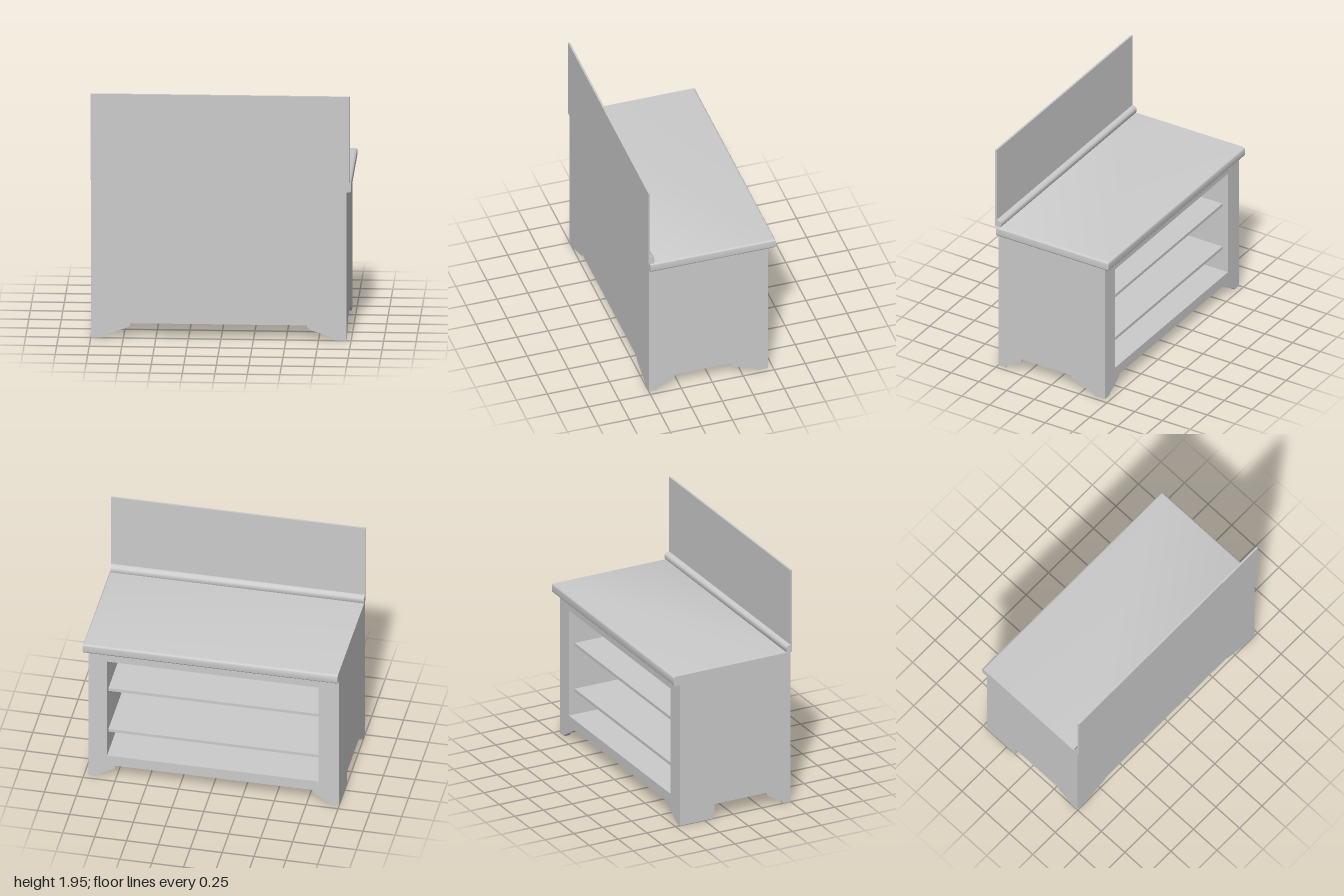
import * as THREE from 'three';
import { toCreasedNormals } from 'three/addons/utils/BufferGeometryUtils.js';

const material = new THREE.MeshStandardMaterial({ color: 0xcccccc });

// Body limits, board thickness and underside of the counter
const X0 = -1, X1 = 0.965, Z0 = -0.46, Z1 = 0.5, T = 0.05, TOP = 1.18;
// Opening in the back
const OX0 = -0.84, OX1 = 0.82, OY0 = 0.205, OY1 = 1.09;

// Foot outlines: distance from the cabinet corner, height
const wideFoot = [[0.085, 0], [0.11, 0.02], [0.2, 0.055], [0.28, 0.083], [0.3, 0.098], [0.305, 0.118]];
const narrowFoot = [[0.065, 0], [0.08, 0.02], [0.14, 0.055], [0.19, 0.083], [0.206, 0.098], [0.21, 0.118]];
const blockFoot = [[0.3, 0], [0.3, 0.118]];

// Board from a to b with a foot cut at each end; trim shortens the ends where boards meet
function boardShape(a, b, footA, footB, trim = 0) {
  const points = [
    [a + trim, 0],
    ...footA.map(([d, y]) => [a + d, y]),
    ...[...footB].reverse().map(([d, y]) => [b - d, y]),
    [b - trim, 0], [b - trim, TOP], [a + trim, TOP],
  ];
  return new THREE.Shape(points.map(([x, y]) => new THREE.Vector2(x, y)));
}

function extrude(shape, depth) {
  return new THREE.ExtrudeGeometry(shape, { depth, bevelEnabled: false });
}

// Extrudes a (z, y) shape along x, ending at xMax
function extrudeAlongX(shape, xMin, xMax) {
  return extrude(shape, xMax - xMin).rotateY(-Math.PI / 2).translate(xMax, 0, 0);
}

function box(x0, x1, y0, y1, z0, z1) {
  return new THREE.BoxGeometry(x1 - x0, y1 - y0, z1 - z0)
    .translate((x0 + x1) / 2, (y0 + y1) / 2, (z0 + z1) / 2);
}

// Counter slab: rounded on the left and back edges, cut square on the other two
function counterGeometry() {
  const r = 0.018, zBack = -0.513, y0 = TOP, y1 = 1.26;
  const shape = new THREE.Shape([
    [X0, -Z1], [1 - r, -Z1], [1 - r, -zBack - r], [X0, -zBack - r],
  ].map(([x, y]) => new THREE.Vector2(x, y)));
  const geometry = new THREE.ExtrudeGeometry(shape, {
    depth: y1 - y0 - 2 * r, bevelEnabled: true, bevelSize: r, bevelThickness: r, bevelSegments: 5,
  });
  geometry.rotateX(-Math.PI / 2).translate(0, y0 + r, 0);
  const p = geometry.attributes.position;
  for (let i = 0; i < p.count; i++) {
    p.setX(i, Math.max(p.getX(i), X0));
    p.setZ(i, Math.min(p.getZ(i), Z1));
  }
  return toCreasedNormals(geometry, 0.7);
}

export function createModel() {
  const model = new THREE.Group();
  model.name = 'serviceCounter';
  const add = (name, geometry) => {
    const mesh = new THREE.Mesh(geometry, material);
    mesh.name = name;
    model.add(mesh);
  };

  // Front board
  add('frontPanel', extrude(boardShape(X0, X1, wideFoot, wideFoot), T).translate(0, 0, Z1 - T));

  // Back frame around the shelf opening
  const frame = boardShape(X0, X1, narrowFoot, narrowFoot);
  frame.holes.push(new THREE.Path([
    [OX0, OY0], [OX0, OY1], [OX1, OY1], [OX1, OY0],
  ].map(([x, y]) => new THREE.Vector2(x, y))));
  add('backFrame', extrude(frame, T).translate(0, 0, Z0));

  // Side boards, fitted between front and back
  add('leftSide', extrudeAlongX(boardShape(Z0, Z1, wideFoot, narrowFoot, T), X1 - T, X1));
  add('rightSide', extrudeAlongX(boardShape(Z0, Z1, blockFoot, narrowFoot, T), X0, X0 + T));

  // Inside: floor, ceiling, walls flush with the opening, and shelves
  const zi0 = Z0 + T, zi1 = Z1 - T;
  add('floor', box(X0 + T, X1 - T, 0.188, OY0, zi0, zi1));
  add('ceiling', box(OX0, OX1, OY1, OY1 + 0.03, zi0, zi1));
  add('innerWallRight', box(OX0 - 0.03, OX0, OY0, OY1, zi0, zi1));
  add('innerWallLeft', box(OX1, OX1 + 0.03, OY0, OY1, zi0, zi1));
  [0.42, 0.805].forEach((y, i) => add(`shelf${i + 1}`, box(OX0, OX1, y - 0.025, y, zi0, zi1)));

  // Counter top
  add('counterTop', counterGeometry());

  // Moulding strip and upright screen along the front
  const moulding = new THREE.Shape([
    [0.513, 1.258], [0.513, 1.32], [0.497, 1.32], [0.48, 1.314], [0.466, 1.304],
    [0.462, 1.295], [0.462, 1.272], [0.468, 1.258],
  ].map(([z, y]) => new THREE.Vector2(z, y)));
  add('moulding', toCreasedNormals(extrudeAlongX(moulding, X0, 0.99), 0.9));
  add('screen', box(X0, 0.99, 1.32, 1.945, 0.498, 0.513));

  return model;
}
